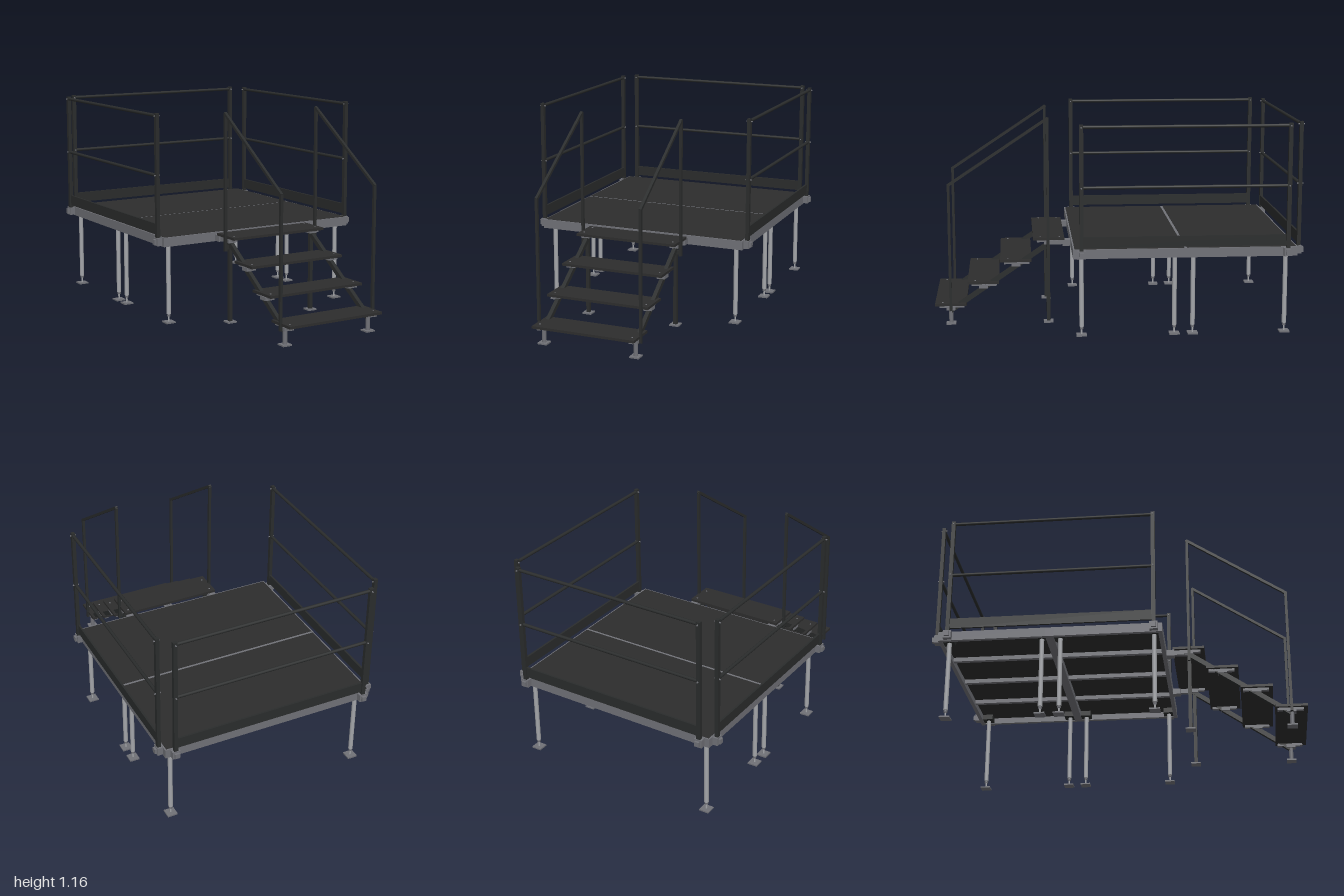
import * as THREE from 'three';

const mat = (name, color) => {
  const m = new THREE.MeshStandardMaterial({ color });
  m.name = name;
  return m;
};

export function createModel() {
  const root = new THREE.Group();
  root.name = 'stagePlatform';
  const black = mat('blackPaint', 0x2a2c2c);
  const board = mat('darkBoard', 0x2d2d2d);
  const frame = mat('greyFrame', 0x707177);
  const alu = mat('lightAluminium', 0xa3a5a9);

  const group = (name, parent = root) => {
    const g = new THREE.Group();
    g.name = name;
    parent.add(g);
    return g;
  };
  const add = (g, name, geo, m, x, y, z) => {
    const mesh = new THREE.Mesh(geo, m);
    mesh.name = name;
    mesh.position.set(x, y, z);
    g.add(mesh);
    return mesh;
  };
  // box given by its lower and upper corners
  const box = (g, name, m, x0, x1, y0, y1, z0, z1) =>
    add(g, name, new THREE.BoxGeometry(x1 - x0, y1 - y0, z1 - z0), m,
      (x0 + x1) / 2, (y0 + y1) / 2, (z0 + z1) / 2);
  const post = (g, name, m, x, z, y0, y1, w) =>
    box(g, name, m, x - w / 2, x + w / 2, y0, y1, z - w / 2, z + w / 2);
  const tube = (g, name, m, x, z, y0, y1, r, n = 16) =>
    add(g, name, new THREE.CylinderGeometry(r, r, y1 - y0, n), m, x, (y0 + y1) / 2, z);
  // square bar between two points of a plane of constant x
  const slopedBar = (g, name, m, x, za, ya, zb, yb, w, h) => {
    const bar = add(g, name, new THREE.BoxGeometry(w, h, Math.hypot(zb - za, yb - ya)), m,
      x, (ya + yb) / 2, (za + zb) / 2);
    bar.rotation.x = -Math.atan2(yb - ya, zb - za);
  };

  // Two deck sections: frame, cross bars, board and legs
  for (const [z0, z1] of [[-0.96, -0.357], [-0.357, 0.246]]) {
    const deck = group('deckSection');
    const w = 0.022, y0 = 0.434, y1 = 0.485;
    for (const z of [z0, z1 - w]) box(deck, 'frameBeam', frame, -0.605, 0.605, y0, y1, z, z + w);
    for (const x of [-0.605, 0.605 - w]) box(deck, 'frameSide', frame, x, x + w, y0, y1, z0 + w, z1 - w);
    box(deck, 'deckBoard', board, -0.597, 0.597, 0.468, 0.487, z0 + 0.008, z1 - 0.008);
    for (const x of [-0.3, 0, 0.3]) box(deck, 'crossBar', frame, x - 0.012, x + 0.012, 0.445, 0.468, z0 + w, z1 - w);
    for (const x of [-0.555, 0.555])
      for (const z of [z0 + 0.054, z1 - 0.046]) {
        const leg = group('leg', deck);
        box(leg, 'legSocket', black, x - 0.035, x + 0.035, 0.438, 0.468, z - 0.032, z + 0.028);
        tube(leg, 'legTube', alu, x, z, 0.05, 0.445, 0.0125);
        tube(leg, 'levelScrew', alu, x, z, 0.008, 0.05, 0.005, 10);
        tube(leg, 'screwNut', frame, x, z, 0.036, 0.046, 0.01, 6);
        post(leg, 'footPlate', frame, x, z, 0, 0.008, 0.056);
      }
  }

  // Guard rail built along x, facing +z outward
  const guardRail = (name, half) => {
    const g = group(name);
    for (const s of [-1, 1]) {
      const x = s * half;
      box(g, 'railPost', black, x - 0.011, x + 0.011, 0.44, 1.155, -0.01, 0.01);
      box(g, 'clampBlock', frame, x - 0.022, x + 0.022, 0.438, 0.482, -0.02, 0.014);
      box(g, 'clampJaw', frame, x - 0.013, x + 0.013, 0.446, 0.474, 0.01, 0.026);
      for (const y of [0.82, 1.14]) {
        const bolt = add(g, 'railBolt', new THREE.CylinderGeometry(0.004, 0.004, 0.034, 8), frame, x, y, 0);
        bolt.rotation.x = Math.PI / 2;
      }
    }
    for (const y of [0.82, 1.141]) {
      const bar = add(g, 'railBar', new THREE.CylinderGeometry(0.009, 0.009, half * 2, 12), black, 0, y, 0);
      bar.rotation.z = Math.PI / 2;
    }
    box(g, 'kickBoard', black, -half, half, 0.497, 0.555, -0.008, 0.003);
    return g;
  };
  const back = guardRail('backGuardRail', 0.555);
  back.position.z = -0.975;
  back.rotation.y = Math.PI;
  for (const s of [-1, 1]) {
    const side = guardRail('sideGuardRail', 0.554);
    side.position.set(s * 0.62, 0, -0.352);
    side.rotation.y = s * Math.PI / 2;
  }

  // Stair treads on their grey brackets
  const stairs = group('stairs');
  for (let i = 0; i < 4; i++) {
    const y = 0.107 + i * 0.1217, z = 0.912 - i * 0.1817;
    box(stairs, 'tread', board, -0.293, 0.293, y, y + 0.014, z - 0.087, z + 0.087);
    for (const s of [-1, 1]) {
      const x = s * 0.266;
      box(stairs, 'treadBracket', frame, x - 0.011, x + 0.011, y - 0.014, y, z - 0.075, z + 0.065);
      box(stairs, 'bracketClamp', frame, x - 0.02, x + 0.02, y - 0.026, y - 0.006, z - 0.025, z + 0.025);
      for (const dz of [-0.06, 0.045]) tube(stairs, 'treadBolt', frame, x, z + dz, y + 0.013, y + 0.016, 0.005, 8);
    }
  }

  // Stringers, feet, deck hooks and handrails on both sides
  for (const s of [-1, 1]) {
    const x = s * 0.266, hx = s * 0.294;
    slopedBar(stairs, 'stringer', black, x, 0.915, 0.075, 0.365, 0.45, 0.022, 0.026);
    post(stairs, 'rearLeg', black, x, 0.37, 0.008, 0.45, 0.02);
    post(stairs, 'rearFootPlate', frame, x, 0.37, 0, 0.008, 0.054);
    tube(stairs, 'frontFootTube', frame, x, 0.912, 0.008, 0.09, 0.012);
    post(stairs, 'frontFootPlate', frame, x, 0.912, 0, 0.008, 0.054);
    box(stairs, 'deckHook', frame, x - 0.022, x + 0.022, 0.438, 0.472, 0.244, 0.29);
    box(stairs, 'hookArm', frame, x - 0.012, x + 0.012, 0.445, 0.468, 0.28, 0.38);

    const rail = group('handrail', stairs);
    post(rail, 'frontRailPost', black, hx, 0.912, 0.08, 0.79, 0.015);
    post(rail, 'rearRailPost', black, hx, 0.37, 0.4, 1.153, 0.015);
    slopedBar(rail, 'handrailBar', black, hx, 0.917, 0.785, 0.365, 1.152, 0.015, 0.015);
    box(rail, 'lowerSpacer', black, Math.min(x, hx), Math.max(x, hx), 0.085, 0.103, 0.904, 0.92);
    box(rail, 'upperSpacer', black, Math.min(x, hx), Math.max(x, hx), 0.41, 0.43, 0.362, 0.378);
  }
  return root;
}
